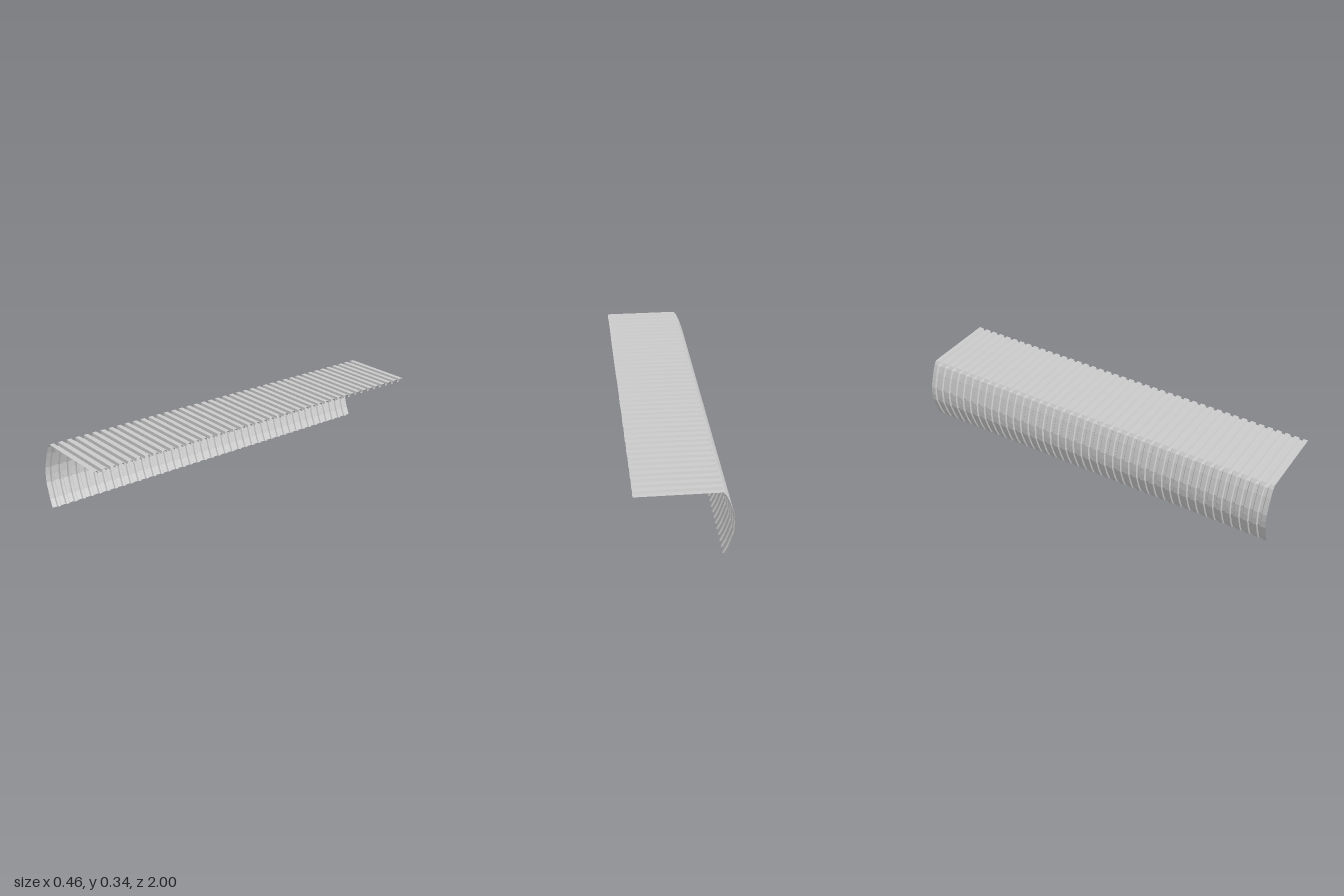
import * as THREE from 'three';

// Cross-section from the roof edge round the eave and down the bowed wall:
// [ridge x, ridge y, groove x, groove y]
const PROFILE = [
  [0.228, 0.342, 0.228, 0.329],
  [-0.168, 0.342, -0.155, 0.328],
  [-0.182, 0.325, -0.175, 0.32],
  [-0.2, 0.285, -0.195, 0.28],
  [-0.214, 0.243, -0.208, 0.24],
  [-0.227, 0.2, -0.22, 0.2],
  [-0.229, 0.16, -0.221, 0.16],
  [-0.227, 0.12, -0.22, 0.12],
  [-0.214, 0.08, -0.208, 0.08],
  [-0.201, 0.04, -0.194, 0.04],
  [-0.182, 0, -0.175, 0],
];

// Trapezoid corrugation along z: [z, groove amount]
function corrugation(count) {
  const pitch = 2 / (count + 0.5);
  const stations = [];
  for (let i = 0; i <= count; i++) {
    const z = -1 + i * pitch;
    stations.push([z, 0], [z + pitch * 0.5, 0]);
    if (i < count) stations.push([z + pitch * 0.6, 1], [z + pitch * 0.9, 1]);
  }
  return stations;
}

export function createModel() {
  const group = new THREE.Group();
  group.name = 'corrugatedShelter';

  // Grid whose columns run along z and whose rows follow the cross-section
  const stations = corrugation(42);
  const columns = stations.length;
  const grid = new THREE.PlaneGeometry(1, 1, columns - 1, PROFILE.length - 1);
  const pos = grid.attributes.position;
  PROFILE.forEach(([rx, ry, gx, gy], row) => {
    stations.forEach(([z, t], col) => {
      pos.setXYZ(row * columns + col, rx + (gx - rx) * t, ry + (gy - ry) * t, z);
    });
  });
  const geometry = grid.toNonIndexed();
  geometry.computeVertexNormals();

  const sheet = new THREE.Mesh(geometry, new THREE.MeshStandardMaterial({
    color: 0xcccccc, flatShading: true, side: THREE.DoubleSide,
  }));
  sheet.name = 'corrugatedRoofAndWall';
  group.add(sheet);
  return group;
}
